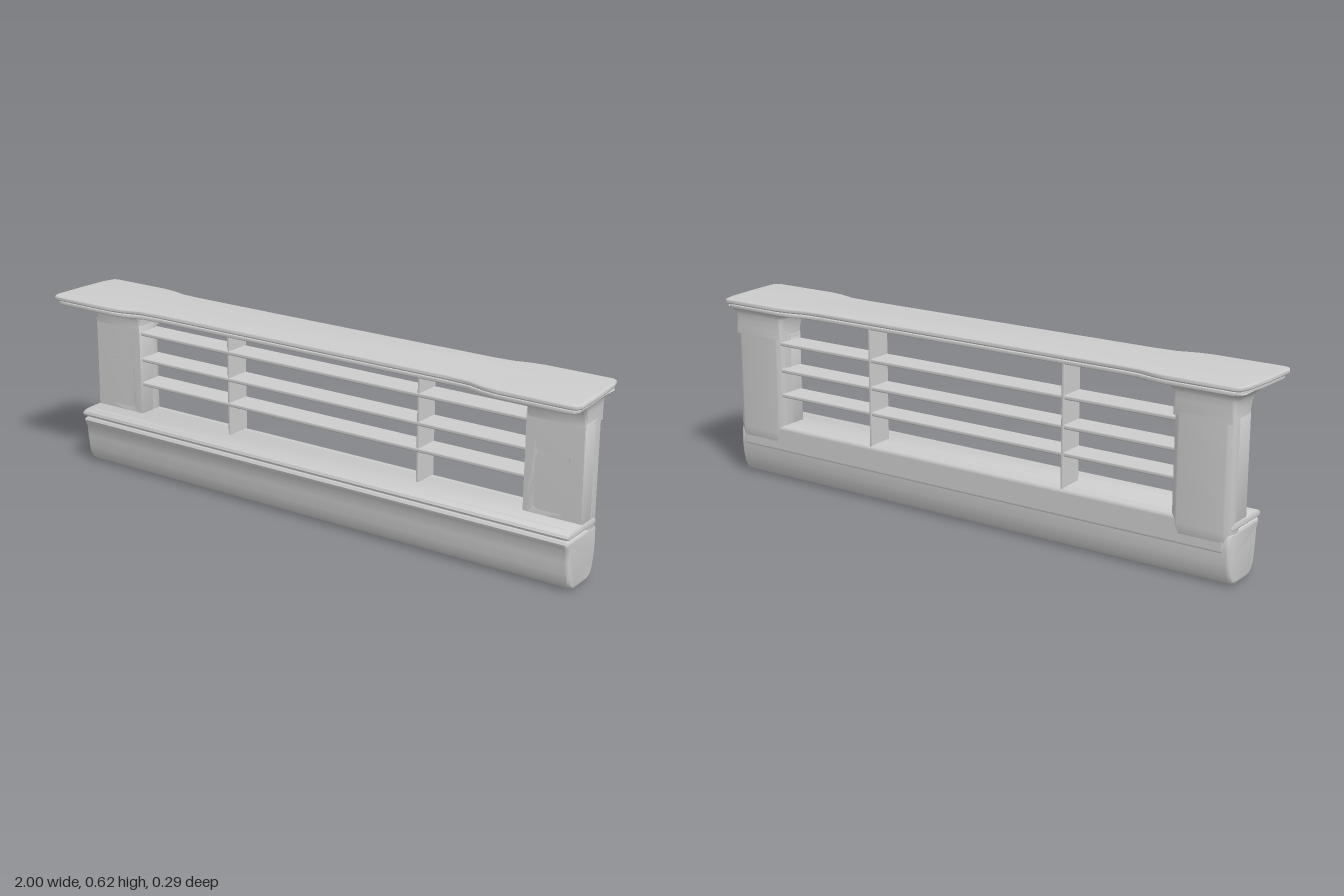
import * as THREE from 'three';
import { toCreasedNormals } from 'three/addons/utils/BufferGeometryUtils.js';
import { RoundedBoxGeometry } from 'three/addons/geometries/RoundedBoxGeometry.js';

const material = new THREE.MeshStandardMaterial({ color: 0xcccccc });

function add(group, name, geometry) {
  const mesh = new THREE.Mesh(geometry, material);
  mesh.name = name;
  group.add(mesh);
  return mesh;
}

function box(x0, x1, y0, y1, z0, z1, r) {
  const g = new RoundedBoxGeometry(x1 - x0, y1 - y0, z1 - z0, 3, r);
  return g.translate((x0 + x1) / 2, (y0 + y1) / 2, (z0 + z1) / 2);
}

// Extrusion whose rounded edges stay inside the outline and the depth
function bevelled(shape, depth, r, curveSegments = 6) {
  const g = new THREE.ExtrudeGeometry(shape, {
    depth: depth - 2 * r, bevelEnabled: true, bevelThickness: r, bevelSize: r,
    bevelOffset: -r, bevelSegments: 4, curveSegments,
  });
  return g.translate(0, 0, r);
}

function roundedRect(x0, x1, y0, y1, r, path = new THREE.Shape()) {
  path.absarc(x1 - r, y1 - r, r, 0, Math.PI / 2);
  path.absarc(x0 + r, y1 - r, r, Math.PI / 2, Math.PI);
  path.absarc(x0 + r, y0 + r, r, Math.PI, Math.PI * 1.5);
  path.absarc(x1 - r, y0 + r, r, Math.PI * 1.5, Math.PI * 2);
  path.closePath();
  return path;
}

// Long bar with a (z, y) profile running along x
function bar(points, halfLength, r) {
  const shape = new THREE.Shape(points.map(p => new THREE.Vector2(...p)));
  const g = bevelled(shape, halfLength * 2, r);
  g.translate(0, 0, -halfLength).rotateY(-Math.PI / 2);
  return toCreasedNormals(g, 0.7);
}

// Horizontal rounded rectangles [y, x0, x1, z0, z1, r] skinned upwards
function loft(sections) {
  const n = 24, pos = [], idx = [];
  for (const [y, x0, x1, z0, z1, r] of sections) {
    for (let i = 0; i < n; i++) {
      const corner = Math.floor(i / 6);
      const a = (corner + (i % 6) / 5) * Math.PI / 2;
      const cx = corner === 0 || corner === 3 ? x1 - r : x0 + r;
      const cz = corner < 2 ? z1 - r : z0 + r;
      pos.push(cx + r * Math.cos(a), y, cz + r * Math.sin(a));
    }
  }
  for (let s = 0; s < sections.length - 1; s++) {
    for (let i = 0; i < n; i++) {
      const a = s * n + i, b = s * n + (i + 1) % n;
      idx.push(a, a + n, b, b, a + n, b + n);
    }
  }
  const top = (sections.length - 1) * n;
  for (let i = 1; i < n - 1; i++) idx.push(0, i, i + 1, top, top + i + 1, top + i);
  const g = new THREE.BufferGeometry();
  g.setAttribute('position', new THREE.Float32BufferAttribute(pos, 3));
  g.setIndex(idx);
  return toCreasedNormals(g, 0.7);
}

// Top plate layer: wide ends, narrower middle
function slab(inset, y0, y1, r) {
  const half = [[0, 0.115], [0.55, 0.115], [0.63, 0.119], [0.69, 0.138], [0.74, 0.145],
    [0.97, 0.145], [0.99, 0.14], [1, 0.12], [0.995, 0], [0.987, -0.1], [0.975, -0.14],
    [0.96, -0.148], [0.74, -0.148], [0.69, -0.141], [0.64, -0.128], [0.58, -0.124], [0, -0.122]];
  const mirrored = half.slice(1, -1).reverse().map(([x, z]) => [-x, z]);
  const shape = new THREE.Shape([...half, ...mirrored].map(([x, z]) =>
    new THREE.Vector2(x * (1 - inset), -z * (1 - inset * 5))));
  const g = bevelled(shape, y1 - y0, r);
  g.rotateX(-Math.PI / 2).translate(0, y0, 0);
  return toCreasedNormals(g, 0.7);
}

function createColumn() {
  const column = new THREE.Group();

  // Rounded rear body
  add(column, 'columnBody', loft([
    [0.12, 0.77, 0.93, -0.112, -0.05, 0.02],
    [0.14, 0.757, 0.944, -0.12, -0.045, 0.025],
    [0.17, 0.75, 0.95, -0.121, -0.045, 0.025],
    [0.51, 0.75, 0.95, -0.121, -0.045, 0.025],
  ]));

  // Front face with three square pockets
  const face = roundedRect(0.75, 0.95, 0.18, 0.515, 0.002);
  for (const [y0, y1] of [[0.22, 0.305], [0.32, 0.385], [0.4, 0.476]]) {
    face.holes.push(roundedRect(0.793, 0.897, y0, y1, 0.014, new THREE.Path()));
  }
  const g = new THREE.ExtrudeGeometry(face, {
    depth: 0.064, bevelEnabled: true, bevelThickness: 0.006, bevelSize: 0.006,
    bevelOffset: -0.006, bevelSegments: 3, curveSegments: 5,
  });
  add(column, 'pocketedFace', toCreasedNormals(g.translate(0, 0, -0.085), 0.7));

  // Flare that sweeps forward under the top plate
  add(column, 'columnFlare', loft([
    [0.5, 0.75, 0.95, -0.121, -0.015, 0.008],
    [0.525, 0.75, 0.95, -0.121, -0.014, 0.01],
    [0.55, 0.749, 0.951, -0.121, -0.005, 0.012],
    [0.568, 0.746, 0.954, -0.122, 0.014, 0.016],
    [0.578, 0.742, 0.96, -0.124, 0.04, 0.018],
    [0.583, 0.735, 0.966, -0.127, 0.085, 0.02],
    [0.588, 0.728, 0.975, -0.132, 0.122, 0.022],
    [0.594, 0.72, 0.98, -0.136, 0.135, 0.022],
  ]));
  return column;
}

export function createModel() {
  const model = new THREE.Group();
  model.name = 'grille';

  // Lower beam with a rounded underside, and the lip above its groove
  add(model, 'lowerBeam', bar([
    [-0.065, 0], [0, 0], [0.02, 0.004], [0.037, 0.016], [0.047, 0.034], [0.053, 0.06],
    [0.058, 0.1], [0.06, 0.138], [0.069, 0.152], [0.072, 0.162], [0.067, 0.17],
    [-0.108, 0.17], [-0.116, 0.16], [-0.119, 0.12], [-0.115, 0.07], [-0.107, 0.035],
    [-0.095, 0.012], [-0.08, 0.003],
  ], 0.95, 0.012));
  add(model, 'beamCore', box(-0.936, 0.936, 0.1, 0.198, -0.12, 0.058, 0.015));
  add(model, 'beamLip', bar([
    [0.062, 0.174], [0.07, 0.177], [0.073, 0.184], [0.069, 0.192], [0.055, 0.197],
    [0.02, 0.199], [-0.09, 0.199], [-0.105, 0.19], [-0.108, 0.18], [-0.1, 0.174],
  ], 0.952, 0.006));

  // Two-layer top plate
  add(model, 'topPlate', slab(0, 0.604, 0.62, 0.006));
  add(model, 'topPlateLower', slab(0.012, 0.588, 0.602, 0.006));
  add(model, 'topPlateJoint', slab(0.025, 0.598, 0.608, 0.002));

  // End columns, the second one turned inside out by mirroring its vertices
  for (const side of [1, -1]) {
    const column = createColumn();
    column.name = side > 0 ? 'leftColumn' : 'rightColumn';
    column.scale.x = side;
    model.add(column);
  }

  // Horizontal slats
  for (const y of [0.305, 0.392, 0.485]) {
    add(model, 'slat', box(-0.77, 0.77, y - 0.007, y + 0.007, -0.113, -0.022, 0.005));
  }

  // Upright dividers
  for (const x of [-0.372, 0.372]) {
    add(model, 'divider', box(x - 0.005, x + 0.005, 0.18, 0.6, -0.115, -0.024, 0.003));
  }
  return model;
}
